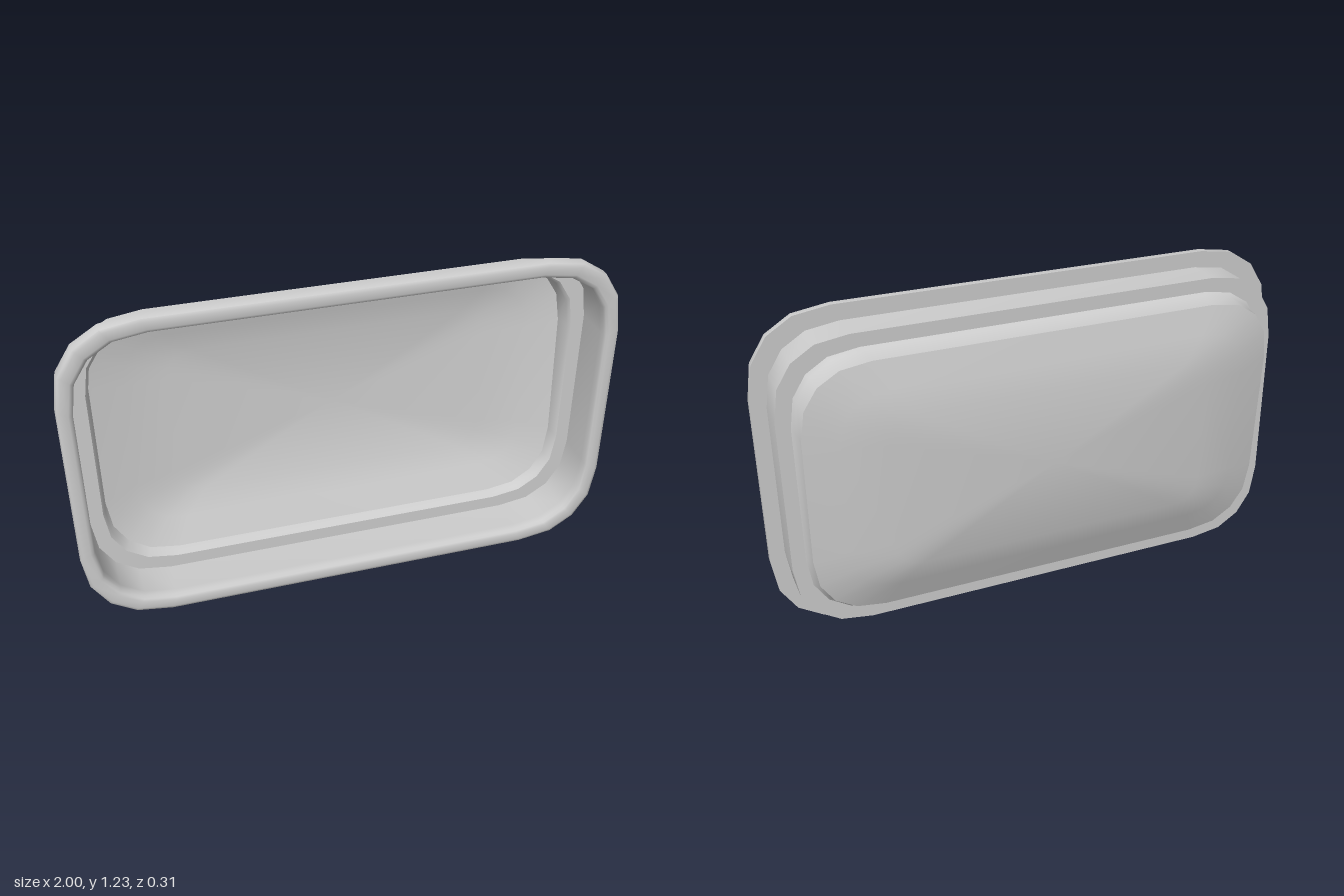
import * as THREE from 'three';
import { toCreasedNormals } from 'three/addons/utils/BufferGeometryUtils.js';

const CENTRE_Y = 0.615;
const CORNER_STEPS = 4;

// One loop of a softly squared rectangle; tilt is the change of z per unit of height.
function ring({ w, h, r, z, tilt = 0 }) {
  const points = [];
  const soften = (v) => Math.sign(v) * Math.pow(Math.abs(v), 0.87);
  for (let corner = 0; corner < 4; corner++) {
    const sx = corner === 0 || corner === 3 ? 1 : -1;
    const sy = corner < 2 ? 1 : -1;
    for (let i = 0; i <= CORNER_STEPS; i++) {
      const a = (corner + i / CORNER_STEPS) * Math.PI / 2;
      const x = sx * (w - r) + r * soften(Math.cos(a));
      const y = sy * (h - r) + r * soften(Math.sin(a));
      points.push(new THREE.Vector3(x, CENTRE_Y + y, z + tilt * y));
    }
  }
  return points;
}

// Skins a series of loops, optionally closing the last one with a fan.
function loft(name, profile, material, capped = false) {
  const rings = profile.map(ring);
  const n = rings[0].length;
  const positions = [];
  const add = (...pts) => pts.forEach((p) => positions.push(p.x, p.y, p.z));
  for (let k = 0; k < rings.length - 1; k++) {
    const a = rings[k], b = rings[k + 1];
    for (let i = 0; i < n; i++) {
      const j = (i + 1) % n;
      add(a[i], b[i], a[j]);
      add(b[i], b[j], a[j]);
    }
  }
  if (capped) {
    const last = rings[rings.length - 1];
    const middle = new THREE.Vector3(0, CENTRE_Y, profile[profile.length - 1].z);
    for (let i = 0; i < n; i++) add(last[i], middle, last[(i + 1) % n]);
  }
  const geometry = new THREE.BufferGeometry();
  geometry.setAttribute('position', new THREE.Float32BufferAttribute(positions, 3));
  const mesh = new THREE.Mesh(toCreasedNormals(geometry, 0.85), material);
  mesh.name = name;
  return mesh;
}

export function createModel() {
  const model = new THREE.Group();
  model.name = 'recessedPanel';
  const material = new THREE.MeshStandardMaterial({ color: 0xcccccc, side: THREE.DoubleSide });

  // Rounded lip around the open front
  const rim = loft('rim', [
    { w: 0.945, h: 0.556, r: 0.27, z: 0.112 },
    { w: 0.945, h: 0.556, r: 0.27, z: 0.138 },
    { w: 0.95, h: 0.562, r: 0.27, z: 0.149 },
    { w: 0.96, h: 0.572, r: 0.28, z: 0.153 },
    { w: 0.985, h: 0.6, r: 0.29, z: 0.153 },
    { w: 0.996, h: 0.611, r: 0.3, z: 0.149 },
    { w: 1.0, h: 0.615, r: 0.3, z: 0.138 },
    { w: 1.0, h: 0.615, r: 0.3, z: 0.112 },
    { w: 0.945, h: 0.556, r: 0.27, z: 0.112 },
  ], material);

  // Deep side wall and the ledge behind it
  const wall = loft('sideWall', [
    { w: 0.945, h: 0.556, r: 0.27, z: 0.112 },
    { w: 0.945, h: 0.556, r: 0.27, z: -0.017 },
    { w: 0.895, h: 0.506, r: 0.25, z: -0.017 },
  ], material);

  // Bevelled collar whose back edge leans with the dished panel
  const collar = loft('collar', [
    { w: 0.895, h: 0.506, r: 0.25, z: -0.017 },
    { w: 0.886, h: 0.497, r: 0.25, z: -0.029 },
    { w: 0.88, h: 0.49, r: 0.25, z: -0.079, tilt: -0.056 },
  ], material);

  // Shallow bulged back panel
  const panel = loft('backPanel', [
    { w: 0.88, h: 0.49, r: 0.25, z: -0.079, tilt: -0.056 },
    { w: 0.76, h: 0.388, r: 0.18, z: -0.112, tilt: -0.048 },
    { w: 0.6, h: 0.297, r: 0.1, z: -0.142, tilt: -0.034 },
  ], material, true);

  model.add(rim, wall, collar, panel);
  return model;
}
